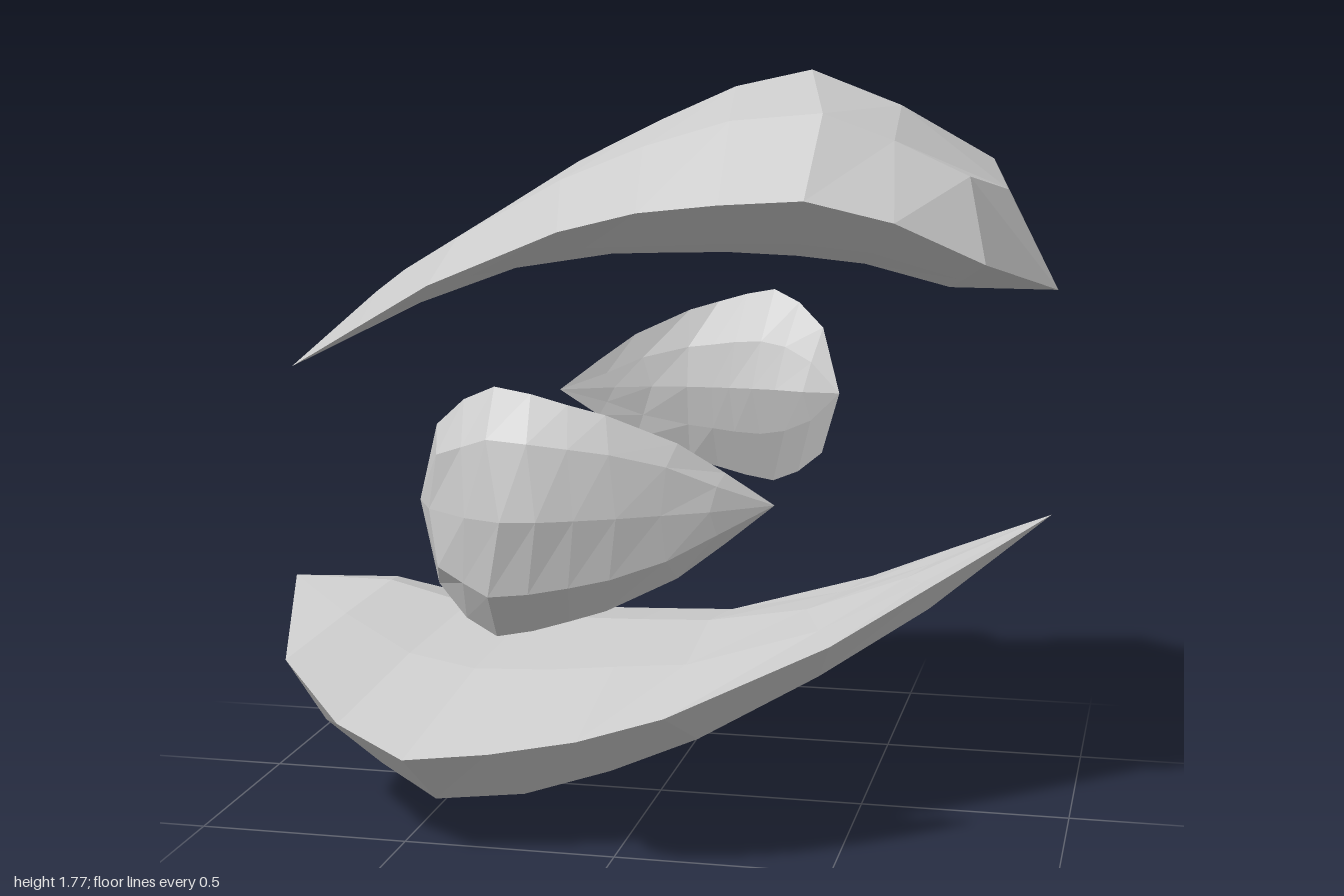
import * as THREE from 'three';

// Half cross-sections from pointed tip to rounded end:
// outer ridge [x,y], outer shoulder [x,y,z], rim [x,y,z], inner shoulder [x,y,z], inner keel [x,y]
const SECTIONS = [
  [[-0.64, 1.28], [-0.67, 1.24, 0.13], [-0.70, 1.16, 0.19], [-0.65, 1.185, 0.10], [-0.60, 1.20]],
  [[-0.41, 1.42], [-0.43, 1.385, 0.25], [-0.47, 1.285, 0.36], [-0.42, 1.29, 0.20], [-0.36, 1.29]],
  [[-0.20, 1.55], [-0.16, 1.53, 0.33], [-0.12, 1.43, 0.52], [-0.12, 1.37, 0.27], [-0.12, 1.33]],
  [[0.00, 1.65], [0.04, 1.61, 0.365], [0.07, 1.48, 0.575], [0.05, 1.38, 0.29], [0.05, 1.337]],
  [[0.18, 1.73], [0.24, 1.67, 0.395], [0.26, 1.505, 0.63], [0.20, 1.39, 0.31], [0.17, 1.34]],
  [[0.36, 1.77], [0.45, 1.69, 0.415], [0.45, 1.52, 0.665], [0.38, 1.395, 0.32], [0.33, 1.335]],
  [[0.57, 1.69], [0.60, 1.63, 0.36], [0.63, 1.47, 0.585], [0.55, 1.375, 0.29], [0.49, 1.32]],
  [[0.82, 1.50], [0.76, 1.55, 0.30], [0.81, 1.37, 0.43], [0.74, 1.31, 0.20], [0.69, 1.27]],
];
const TIP = [-0.94, 1.03, 0];
const END = [0.94, 1.27, 0];

// Closed lens-shaped petal lofted through mirrored sections
function petalGeometry() {
  const N = 8;
  const rings = SECTIONS.map(([ridge, sh, rim, ish, keel]) => {
    const side = [sh, rim, ish];
    const other = side.map(([x, y, z]) => [x, y, -z]).reverse();
    return [[...ridge, 0], ...side, [...keel, 0], ...other];
  });
  const pos = [];
  const tri = (a, b, c) => pos.push(...a, ...b, ...c);
  const first = rings[0], last = rings[rings.length - 1];
  for (let i = 0; i < N; i++) {
    const j = (i + 1) % N;
    tri(TIP, first[j], first[i]);
    for (let s = 0; s < rings.length - 1; s++) {
      const p = rings[s], q = rings[s + 1];
      tri(p[i], p[j], q[i]);
      tri(p[j], q[j], q[i]);
    }
    tri(last[i], last[j], END);
  }
  const geo = new THREE.BufferGeometry();
  geo.setAttribute('position', new THREE.Float32BufferAttribute(pos, 3));
  geo.computeVertexNormals();
  return geo;
}

export function createModel() {
  const group = new THREE.Group();
  const material = new THREE.MeshStandardMaterial({ color: 0xcccccc, flatShading: true });
  const geometry = petalGeometry();

  // name, directions of the petal's own x, y and z axes, scale, position
  const petals = [
    ['topPetal', [1, 0, 0], [0, 1, 0], [0, 0, 1], 1, [0, 0, 0]],
    ['bottomPetal', [-1, 0, 0], [0, -1, 0], [0, 0, 1], 1, [0, 1.77, 0]],
    ['frontPetal', [-1, 0, 0], [0, 0, 1], [0, 1, 0], 0.4, [0.025, 0.88, 0.292]],
    ['backPetal', [1, 0, 0], [0, 0, -1], [0, 1, 0], 0.4, [-0.06, 0.88, -0.292]],
  ];
  for (const [name, x, y, z, scale, position] of petals) {
    const mesh = new THREE.Mesh(geometry, material);
    mesh.name = name;
    const axes = [x, y, z].map((v) => new THREE.Vector3(...v));
    mesh.quaternion.setFromRotationMatrix(new THREE.Matrix4().makeBasis(...axes));
    mesh.scale.setScalar(scale);
    mesh.position.set(...position);
    group.add(mesh);
  }
  return group;
}
